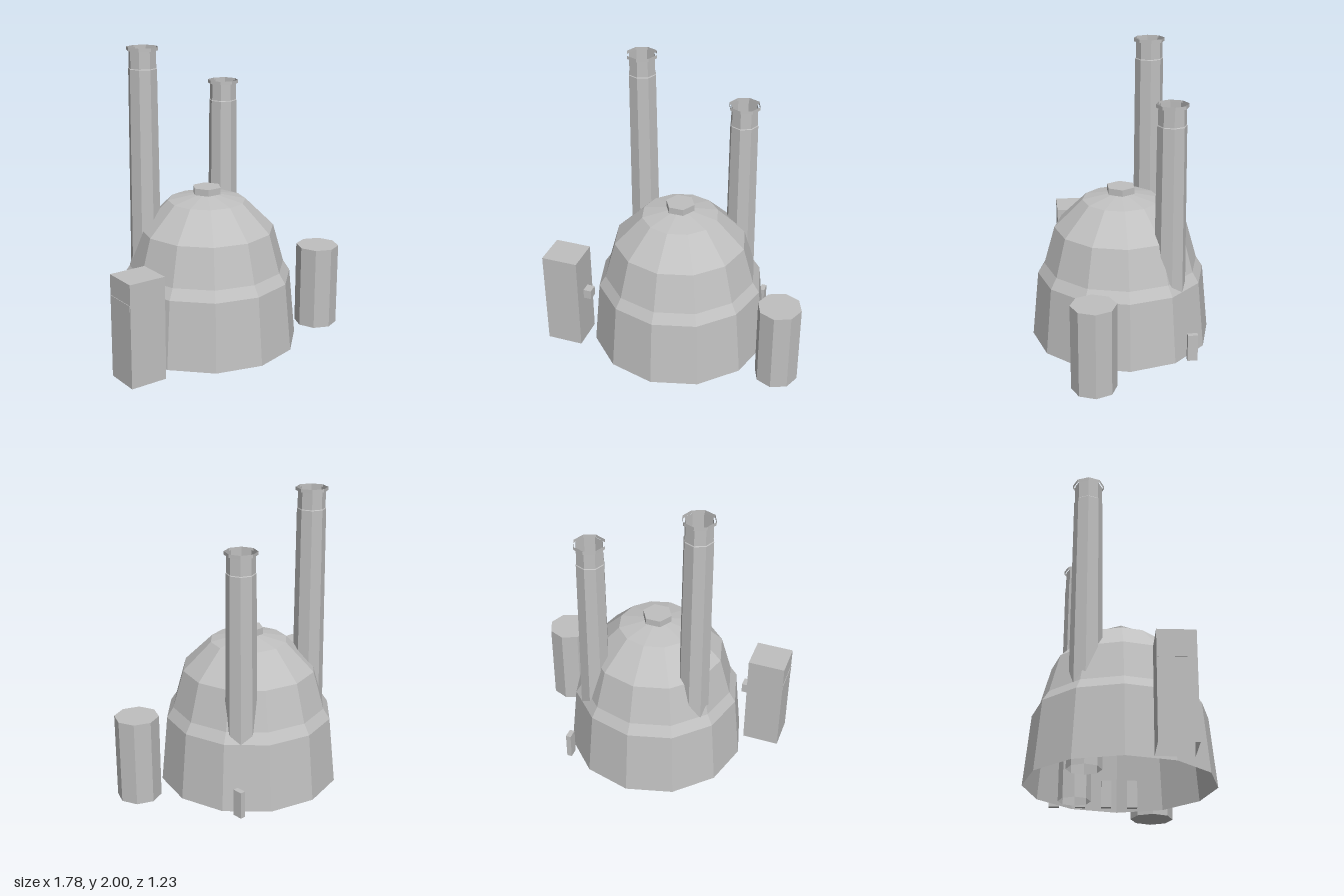
import * as THREE from 'three';

export function createModel() {
  const model = new THREE.Group();
  const grey = new THREE.MeshStandardMaterial({ color: 0xc0c0c0, flatShading: true, side: THREE.DoubleSide });
  grey.name = 'plainGrey';

  const add = (name, geometry, x, y, z, parent = model) => {
    const mesh = new THREE.Mesh(geometry, grey);
    mesh.name = name;
    mesh.position.set(x, y, z);
    parent.add(mesh);
    return mesh;
  };
  const lathe = (profile, sides) =>
    new THREE.LatheGeometry(profile.map(([r, y]) => new THREE.Vector2(r, y)), sides);
  // Box given by its minimum and maximum corners
  const block = (name, a, b) => add(name,
    new THREE.BoxGeometry(b[0] - a[0], b[1] - a[1], b[2] - a[2]),
    (a[0] + b[0]) / 2, (a[1] + b[1]) / 2, (a[2] + b[2]) / 2);

  // Twelve-sided dome, open underneath
  const domeX = -0.035;
  add('dome', lathe([[0.615, 0], [0.57, 0.46], [0.525, 0.53], [0.452, 0.79], [0.26, 0.98], [0, 1.035]], 12), domeX, 0, 0);
  add('domeCap', new THREE.CylinderGeometry(0.1, 0.1, 0.045, 6), domeX, 1.0475, 0).rotation.y = Math.PI / 6;

  // Open tapered chimneys, each with a loose band around the top
  const chimney = (name, x, z, top) => {
    const group = new THREE.Group();
    group.name = name;
    group.position.set(x, 0, z);
    model.add(group);
    add('stack', lathe([[0.109, 0], [0.095, top - 0.14], [0.091, top - 0.135], [0.09, top - 0.01]], 8), 0, 0, 0, group);
    add('rimBand', new THREE.CylinderGeometry(0.105, 0.105, 0.022, 8, 1, true), 0, top - 0.011, 0, group);
  };
  chimney('rightChimney', -0.378, -0.23, 2);
  chimney('leftChimney', 0.308, -0.288, 1.715);

  // Eight-sided storage tank
  add('tank', new THREE.CylinderGeometry(0.147, 0.147, 0.575, 8), 0.742, 0.2875, 0.25);

  // Tall cabinet without a floor, its side strip and the link to the dome
  const cabinet = block('cabinet', [-0.89, 0, 0.17], [-0.64, 0.685, 0.405]).geometry;
  const index = Array.from(cabinet.index.array);
  index.splice(18, 6);
  cabinet.setIndex(index);
  cabinet.clearGroups();
  block('cabinetStrip', [-0.893, 0.51, 0.175], [-0.888, 0.55, 0.4]);
  block('connector', [-0.645, 0.345, 0.247], [-0.585, 0.412, 0.315]);

  // Row of small posts along the left side, mostly inside the dome
  for (let i = 0; i < 4; i++) {
    const z = -0.425 + i * 0.175;
    block('post' + (i + 1), [0.44, 0, z - 0.034], [0.475, 0.185, z + 0.034]);
  }
  return model;
}
